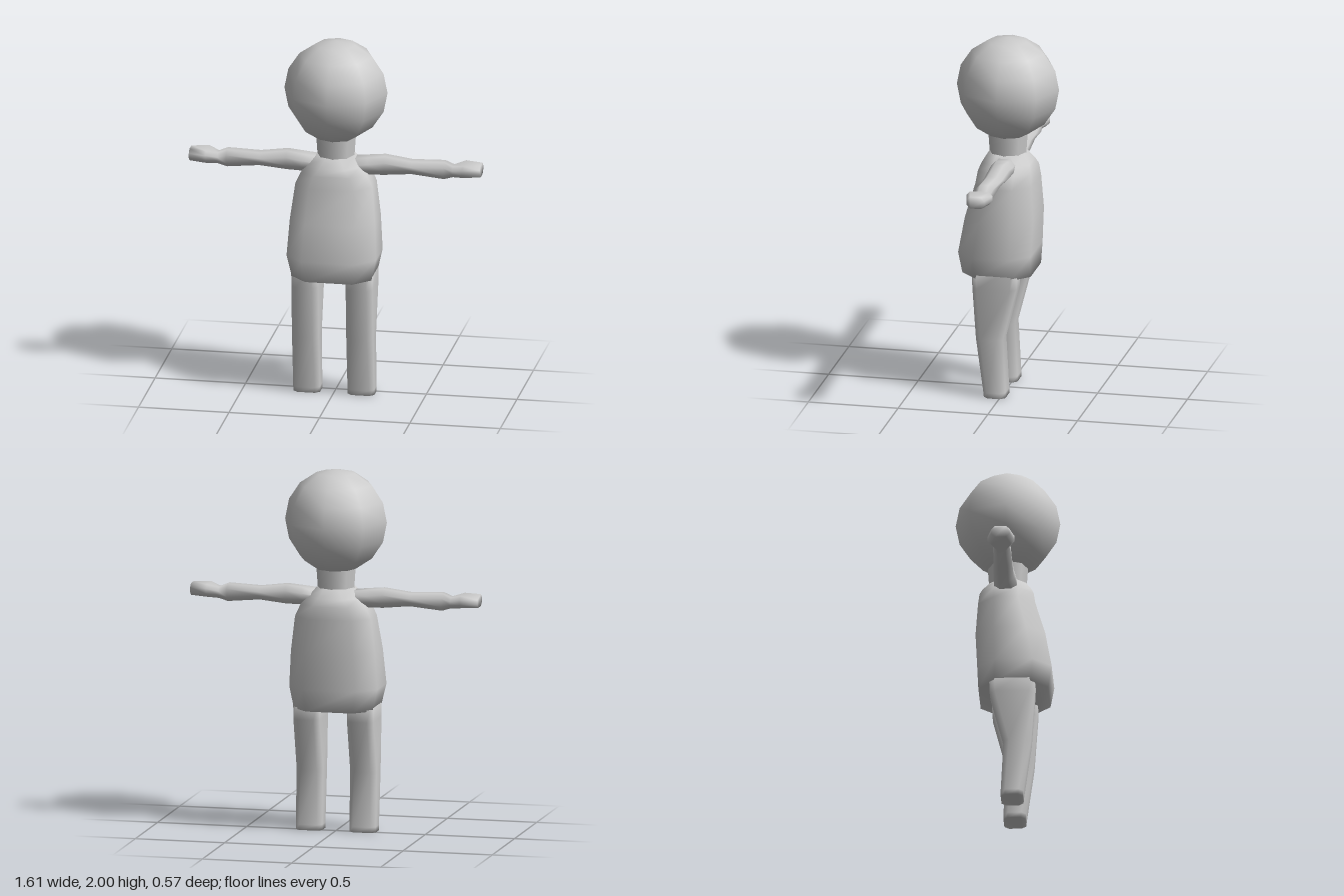
import * as THREE from 'three';

const material = new THREE.MeshStandardMaterial({ color: 0xcccccc });

// Smooth closed loft along y; each row is [y, x0, x1, z0, z1, corner cut]
function loft(rows) {
  const pos = [], idx = [];
  const n = 8;
  for (const [y, x0, x1, z0, z1, c] of rows) {
    const loop = [
      [x1, z1 - c], [x1, z0 + c], [x1 - c, z0], [x0 + c, z0],
      [x0, z0 + c], [x0, z1 - c], [x0 + c, z1], [x1 - c, z1],
    ];
    for (const [x, z] of loop) pos.push(x, y, z);
  }
  for (let r = 0; r < rows.length - 1; r++) {
    for (let i = 0; i < n; i++) {
      const a = r * n + i, b = r * n + (i + 1) % n;
      idx.push(a, b, b + n, a, b + n, a + n);
    }
  }
  // End caps
  const top = (rows.length - 1) * n;
  for (let i = 1; i < n - 1; i++) {
    idx.push(0, i + 1, i, top, top + i, top + i + 1);
  }
  const g = new THREE.BufferGeometry();
  g.setAttribute('position', new THREE.Float32BufferAttribute(pos, 3));
  g.setIndex(idx);
  g.computeVertexNormals();
  return g;
}

export function createModel() {
  const model = new THREE.Group();
  const add = (name, geometry, x = 0, y = 0, z = 0) => {
    const mesh = new THREE.Mesh(geometry, material);
    mesh.name = name;
    mesh.position.set(x, y, z);
    model.add(mesh);
  };

  // Head and neck
  add('head', new THREE.SphereGeometry(0.285, 8, 8), 0, 1.715, 0);
  add('neck', new THREE.CylinderGeometry(0.112, 0.098, 0.2, 8), 0, 1.385, 0);

  // Torso with a forward belly
  add('torso', loft([
    [0.68, -0.22, 0.22, -0.155, 0.225, 0.09],
    [0.8, -0.247, 0.247, -0.16, 0.245, 0.1],
    [1.0, -0.235, 0.235, -0.17, 0.21, 0.1],
    [1.19, -0.213, 0.213, -0.157, 0.155, 0.09],
    [1.26, -0.18, 0.18, -0.15, 0.145, 0.08],
    [1.3, -0.14, 0.14, -0.135, 0.13, 0.07],
    [1.35, -0.1, 0.1, -0.1, 0.1, 0.058],
  ]));

  // Legs, bent slightly at the knee
  const leg = loft([
    [0, -0.074, 0.074, -0.03, 0.09, 0.025],
    [0.03, -0.074, 0.074, -0.03, 0.093, 0.025],
    [0.33, -0.074, 0.074, -0.015, 0.135, 0.03],
    [0.62, -0.074, 0.074, -0.09, 0.155, 0.03],
    [0.75, -0.074, 0.074, -0.095, 0.16, 0.03],
  ]);

  // Arm sections: [distance out, bottom, top, back, front, corner cut]
  const armRows = [
    [0.04, 1.25, 1.33, -0.07, 0.06, 0.03],
    [0.18, 1.25, 1.345, -0.068, 0.055, 0.03],
    [0.27, 1.25, 1.355, -0.065, 0.045, 0.03],
    [0.42, 1.265, 1.335, -0.057, 0.044, 0.025],
    [0.6, 1.247, 1.343, -0.05, 0.044, 0.025],
    [0.65, 1.262, 1.322, -0.045, 0.04, 0.02],
    [0.71, 1.271, 1.338, -0.075, 0.072, 0.02],
    [0.805, 1.273, 1.338, -0.05, 0.05, 0.02],
  ];
  const leftArm = loft(armRows.map(([d, lo, hi, ...rest]) => [d, -hi, -lo, ...rest]));
  const rightArm = loft(armRows);
  add('leftArm', leftArm.rotateZ(-Math.PI / 2));
  add('rightArm', rightArm.rotateZ(Math.PI / 2));

  add('leftLeg', leg, 0.15);
  add('rightLeg', leg, -0.15);
  return model;
}
